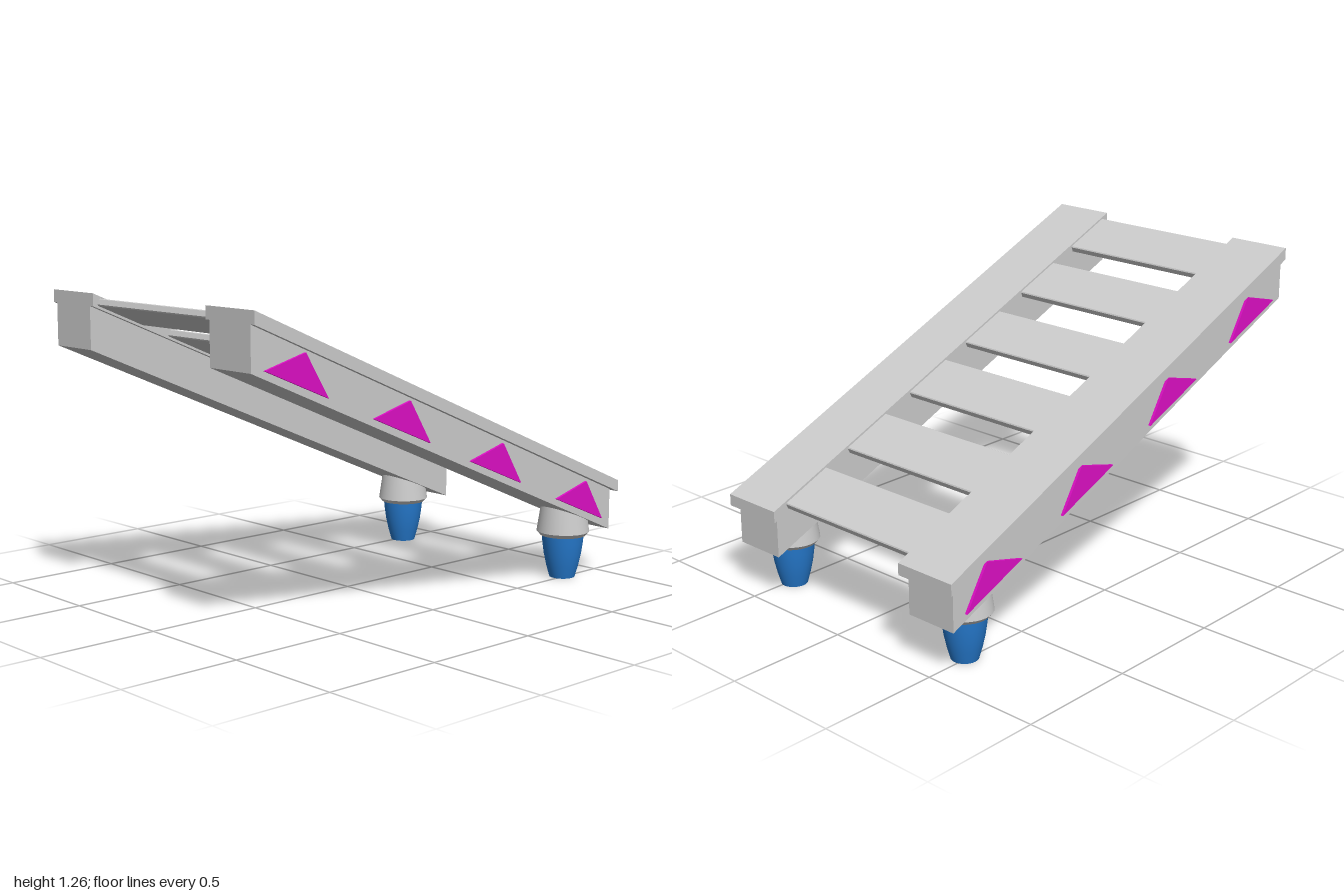
import * as THREE from 'three';
import { toCreasedNormals } from 'three/addons/utils/BufferGeometryUtils.js';

const grey = new THREE.MeshStandardMaterial({ color: 0xcccccc });
const blue = new THREE.MeshStandardMaterial({ color: 0x267ace });
const magenta = new THREE.MeshStandardMaterial({ color: 0xdd0fc4 });

// Side outline in x and y, extruded from z0 to z1
function slab(name, points, z0, z1, material) {
  const shape = new THREE.Shape(points.map(([x, y]) => new THREE.Vector2(x, y)));
  const geometry = new THREE.ExtrudeGeometry(shape, { depth: z1 - z0, bevelEnabled: false });
  geometry.translate(0, 0, z0);
  const mesh = new THREE.Mesh(geometry, material);
  mesh.name = name;
  return mesh;
}

function lathe(name, points, material) {
  const geometry = new THREE.LatheGeometry(points.map(([r, y]) => new THREE.Vector2(r, y)), 32);
  const mesh = new THREE.Mesh(toCreasedNormals(geometry, 0.5), material);
  mesh.name = name;
  return mesh;
}

export function createModel() {
  const model = new THREE.Group();
  model.name = 'slopedRamp';

  for (const side of [1, -1]) {
    const label = side > 0 ? 'front' : 'back';
    const span = (a, b) => (side > 0 ? [a, b] : [-b, -a]);

    // Side beam with a wider cap board
    model.add(slab(label + 'Beam',
      [[-1, 1.04], [0.97, 0.2], [0.97, 0.373], [-1, 1.21]], ...span(0.371, 0.598), grey));
    model.add(slab(label + 'Cap',
      [[-1, 1.21], [1, 0.362], [1, 0.41], [-1, 1.26]], ...span(0.349, 0.62), grey));

    // Triangular markers along the outer face
    for (let i = 0; i < 4; i++) {
      const dx = i * 0.52, dy = i * -0.222;
      const points = [[-0.945, 1.045], [-0.65, 0.922], [-0.757, 1.095]]
        .map(([x, y]) => [x + dx, y + dy]);
      model.add(slab(label + 'Marker' + (i + 1), points, ...span(0.59, 0.609), magenta));
    }

    // Leg: socket under the beam and tapered foot
    const leg = new THREE.Group();
    leg.name = label + 'Leg';
    leg.position.set(0.8, 0, side * 0.487);
    leg.add(lathe('socket',
      [[0, 0.183], [0.097, 0.183], [0.112, 0.2], [0.092, 0.335], [0, 0.335]], grey));
    leg.add(lathe('foot',
      [[0, 0], [0.054, 0], [0.068, 0.05], [0.079, 0.1], [0.086, 0.15], [0.09, 0.19], [0, 0.19]], blue));
    model.add(leg);
  }

  // Cross planks lying along the slope, with slightly chamfered long edges
  const w = 0.117, t = 0.0145, c = 0.004;
  const outline = [[-w + c, -t], [w - c, -t], [w, -t + c], [w, t - c],
    [w - c, t], [-w + c, t], [-w, t - c], [-w, -t + c]];
  [-0.868, -0.535, -0.187, 0.145, 0.495, 0.825].forEach((x, i) => {
    const plank = slab('plank' + (i + 1), outline, -0.372, 0.372, grey);
    plank.position.set(x, 1.18 - 0.4255 * (x + 0.868), 0);
    plank.rotation.z = -Math.atan(0.4255);
    model.add(plank);
  });

  return model;
}
